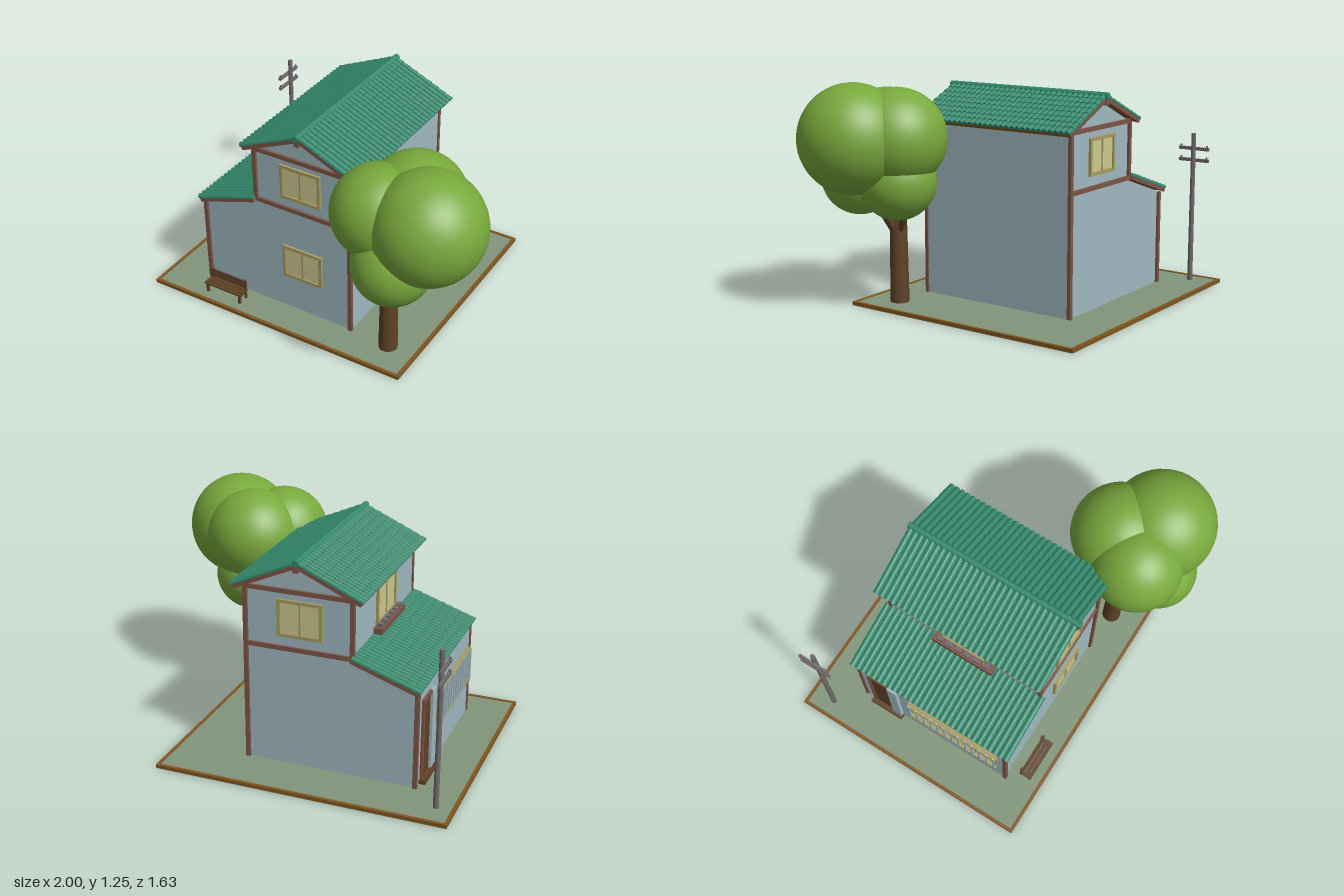
import * as THREE from 'three';
import { mergeGeometries } from 'three/addons/utils/BufferGeometryUtils.js';

const mat = (name, color) => {
  const m = new THREE.MeshStandardMaterial({ color });
  m.name = name;
  return m;
};

export function createModel() {
  const wall = mat('pale blue wall', 0x9fb9c0), tile = mat('green tile', 0x358a6e);
  const beam = mat('red brown timber', 0x7d5547), trim = mat('ochre edge', 0x80561f);
  const bark = mat('dark wood', 0x5f4226), grass = mat('dull grass', 0x82957b);
  const leaf = mat('leaf green', 0x78a83c), metal = mat('pole grey', 0x716a6e);
  const frame = mat('olive frame', 0xa89d62), pane = mat('cream glass', 0xcbc98f);

  const model = new THREE.Group();
  const group = (name, parent = model) => {
    const g = new THREE.Group();
    g.name = name;
    parent.add(g);
    return g;
  };
  const add = (parent, name, geo, m) => {
    const mesh = new THREE.Mesh(geo, m);
    mesh.name = name;
    parent.add(mesh);
    return mesh;
  };
  // Box given by its min and max on each axis
  const box = (parent, name, m, x0, x1, y0, y1, z0, z1) => {
    const b = add(parent, name, new THREE.BoxGeometry(x1 - x0, y1 - y0, z1 - z0), m);
    b.position.set((x0 + x1) / 2, (y0 + y1) / 2, (z0 + z1) / 2);
    return b;
  };
  // Tapered rod between two points
  const rod = (parent, name, m, a, b, r0, r1, sides = 16) => {
    const p = new THREE.Vector3(...a), q = new THREE.Vector3(...b);
    const d = q.clone().sub(p);
    const mesh = add(parent, name, new THREE.CylinderGeometry(r1, r0, d.length(), sides), m);
    mesh.position.copy(p).add(q).multiplyScalar(0.5);
    mesh.quaternion.setFromUnitVectors(new THREE.Vector3(0, 1, 0), d.normalize());
    return mesh;
  };

  // Plot with a raised edge
  const plot = group('plot');
  const X0 = -1, X1 = 0.61, Z0 = -0.815, Z1 = 0.625, E = 0.018;
  box(plot, 'lawn', grass, X0 + 0.001, X1 - 0.001, 0, 0.018, Z0 + 0.001, Z1 - 0.001);
  for (const [x0, x1, z0, z1] of [[X0, X1, Z0, Z0 + E], [X0, X1, Z1 - E, Z1],
    [X0, X0 + E, Z0 + E, Z1 - E], [X1 - E, X1, Z0 + E, Z1 - E]])
    box(plot, 'edging', trim, x0, x1, 0.003, 0.022, z0, z1);

  // House body: tall gabled block with a lean-to
  const house = group('house');
  const B = -0.525, F = 0.42;
  const outline = new THREE.Shape([[-0.75, 0.018], [0.2, 0.018], [0.2, 1.005], [-0.1, 1.14],
    [-0.4, 1.005], [-0.4, 0.673], [-0.75, 0.555]].map(p => new THREE.Vector2(...p)));
  add(house, 'walls', new THREE.ExtrudeGeometry(outline, { depth: F - B, bevelEnabled: false }), wall)
    .position.z = B;

  // Timber posts and rails on both gable ends
  for (const s of [-1, 1]) {
    const z = s > 0 ? F : B, za = z - 0.01 + s * 0.004, zb = za + 0.02;
    for (const [x, y0, y1] of [[0.195, 0.018, 1.005], [-0.395, 0.68, 1.005], [-0.745, 0.018, 0.555]])
      box(house, 'cornerPost', beam, x - 0.012, x + 0.012, y0, y1, za, zb);
    for (const y of [0.69, 1.008])
      box(house, 'gableRail', beam, -0.4, 0.2, y - 0.012, y + 0.012, za, zb);
  }

  // Sloping roof: boards, barge boards and overlapping half-round tiles
  const RZ0 = -0.565, RZ1 = 0.46, RC = (RZ0 + RZ1) / 2, RL = RZ1 - RZ0;
  const roofSlope = (name, top, eave, courses, columns) => {
    const run = eave[0] - top[0], drop = top[1] - eave[1], len = Math.hypot(run, drop);
    const g = group(name, house);
    g.position.set(top[0], top[1], RC);
    g.rotation.set(0, run < 0 ? Math.PI : 0, -Math.atan2(drop, Math.abs(run)));
    box(g, 'roofBoards', trim, 0, len - 0.004, -0.018, 0, -RL / 2 + 0.01, RL / 2 - 0.01);
    for (const s of [-1, 1])
      box(g, 'bargeBoard', beam, 0, len - 0.006, -0.022, 0.002, s * (RL / 2 - 0.01) - 0.007, s * (RL / 2 - 0.01) + 0.007);
    box(g, 'tileBed', tile, 0, len, 0, 0.006, -RL / 2, RL / 2);
    const step = len / courses, pitch = RL / columns, parts = [];
    for (let i = 0; i < courses; i++) for (let j = 0; j < columns; j++) {
      const t = new THREE.CylinderGeometry(0.012, 0.0165, step + 0.004, 6, 1, false, 0, Math.PI);
      t.rotateZ(Math.PI / 2);
      t.translate((i + 0.5) * step, 0.004, -RL / 2 + (j + 0.5) * pitch);
      parts.push(t);
    }
    add(g, 'tiles', mergeGeometries(parts), tile);
  };
  roofSlope('mainRoofLeft', [-0.1, 1.17], [-0.46, 1.01], 8, 30);
  roofSlope('mainRoofRight', [-0.1, 1.17], [0.26, 1.01], 8, 30);
  roofSlope('leanToRoof', [-0.398, 0.7], [-0.768, 0.575], 8, 30);
  rod(house, 'ridgeTile', tile, [-0.1, 1.175, RZ0 - 0.006], [-0.1, 1.175, RZ1 + 0.012], 0.018, 0.018);
  box(house, 'ridgeBeam', beam, -0.115, -0.085, 1.125, 1.172, RZ0 - 0.002, RZ1 + 0.004);

  // Framed windows, built facing +z
  const makeWindow = (name, w, h, panes, pos, turn) => {
    const g = group(name, house), t = 0.018;
    g.position.set(...pos);
    g.rotation.y = turn;
    box(g, 'glass', pane, -w / 2 + t, w / 2 - t, -h / 2 + t, h / 2 - t, -0.002, 0.005);
    for (const s of [-1, 1]) {
      box(g, 'frameSide', frame, s * (w - t) / 2 - t / 2, s * (w - t) / 2 + t / 2, -h / 2, h / 2, -0.002, 0.014);
      box(g, 'frameRail', frame, -w / 2 + t, w / 2 - t, s * (h - t) / 2 - t / 2, s * (h - t) / 2 + t / 2, -0.002, 0.014);
    }
    for (let i = 1; i < panes; i++) {
      const x = -w / 2 + w * i / panes;
      box(g, 'mullion', frame, x - 0.005, x + 0.005, -h / 2 + t, h / 2 - t, 0, 0.01);
    }
    return g;
  };
  makeWindow('frontUpperWindow', 0.25, 0.205, 2, [-0.108, 0.858, F], 0);
  makeWindow('frontLowerWindow', 0.25, 0.205, 2, [-0.108, 0.338, F], 0);
  makeWindow('backUpperWindow', 0.25, 0.205, 2, [-0.108, 0.858, B], Math.PI);
  makeWindow('leftUpperWindow', 0.3, 0.22, 2, [-0.4, 0.855, -0.045], -Math.PI / 2);

  // Long side window behind a grille of upright bars
  const grille = makeWindow('leftLowerWindow', 0.58, 0.2, 4, [-0.75, 0.34, 0.09], -Math.PI / 2);
  for (const y of [-0.09, 0.09]) box(grille, 'grilleRail', frame, -0.29, 0.29, y - 0.006, y + 0.006, 0.014, 0.028);
  for (let i = 0; i < 13; i++) {
    const x = -0.276 + i * 0.046;
    box(grille, 'grilleBar', wall, x - 0.006, x + 0.006, -0.1, 0.1, 0.02, 0.03);
  }

  // Flower box under the upper side window
  const planter = group('windowBox', house);
  box(planter, 'trough', beam, -0.45, -0.4, 0.71, 0.742, -0.23, 0.15);
  for (let i = 0; i < 6; i++)
    box(planter, 'pot', metal, -0.44, -0.41, 0.742, 0.76, -0.205 + i * 0.058, -0.165 + i * 0.058);

  // Side door with frame and step
  const door = group('door', house);
  box(door, 'doorLeaf', bark, -0.757, -0.75, 0.04, 0.48, -0.455, -0.34);
  box(door, 'sidePanel', wall, -0.77, -0.75, 0.03, 0.49, -0.335, -0.275);
  box(door, 'lintel', beam, -0.765, -0.75, 0.48, 0.5, -0.47, -0.335);
  box(door, 'jamb', beam, -0.765, -0.75, 0.03, 0.48, -0.47, -0.455);
  box(door, 'step', bark, -0.785, -0.75, 0.018, 0.04, -0.48, -0.27);

  // Bench in front of the house
  const bench = group('bench');
  for (const z of [0.499, 0.525, 0.55]) box(bench, 'seatSlat', bark, -0.695, -0.445, 0.073, 0.082, z - 0.011, z + 0.011);
  for (const y of [0.107, 0.132]) box(bench, 'backSlat', bark, -0.695, -0.445, y - 0.011, y + 0.011, 0.494, 0.502);
  for (const x of [-0.68, -0.46]) {
    box(bench, 'backLeg', bark, x - 0.007, x + 0.007, 0.018, 0.143, 0.486, 0.496);
    box(bench, 'frontLeg', bark, x - 0.007, x + 0.007, 0.018, 0.075, 0.543, 0.556);
    box(bench, 'seatBrace', bark, x - 0.007, x + 0.007, 0.062, 0.073, 0.49, 0.556);
  }

  // Utility pole with two cross arms
  const pole = group('utilityPole');
  rod(pole, 'post', metal, [-0.9, 0.018, -0.667], [-0.9, 0.888, -0.667], 0.015, 0.013);
  for (const y of [0.73, 0.797]) {
    box(pole, 'crossArm', metal, -0.924, -0.908, y - 0.009, y + 0.009, -0.757, -0.57);
    for (const z of [-0.745, -0.582]) rod(pole, 'insulator', metal, [-0.916, y, z], [-0.916, y + 0.02, z], 0.006, 0.006, 8);
  }

  // Tree with rounded crown
  const tree = group('tree');
  rod(tree, 'trunk', bark, [0.437, 0.018, 0.43], [0.44, 0.85, 0.43], 0.053, 0.042, 20);
  for (const tip of [[0.6, 0.64, 0.46], [0.5, 0.62, 0.58], [0.5, 0.62, 0.3]])
    rod(tree, 'branch', bark, [0.44, 0.38, 0.43], tip, 0.022, 0.014, 10);
  for (const [x, y, z, r] of [[0.698, 0.95, 0.51, 0.298], [0.42, 0.95, 0.515, 0.25], [0.54, 0.95, 0.345, 0.27],
    [0.55, 0.725, 0.6, 0.213], [0.55, 0.72, 0.335, 0.21]])
    add(tree, 'foliage', new THREE.SphereGeometry(r, 40, 28), leaf).position.set(x, y, z);

  return model;
}
